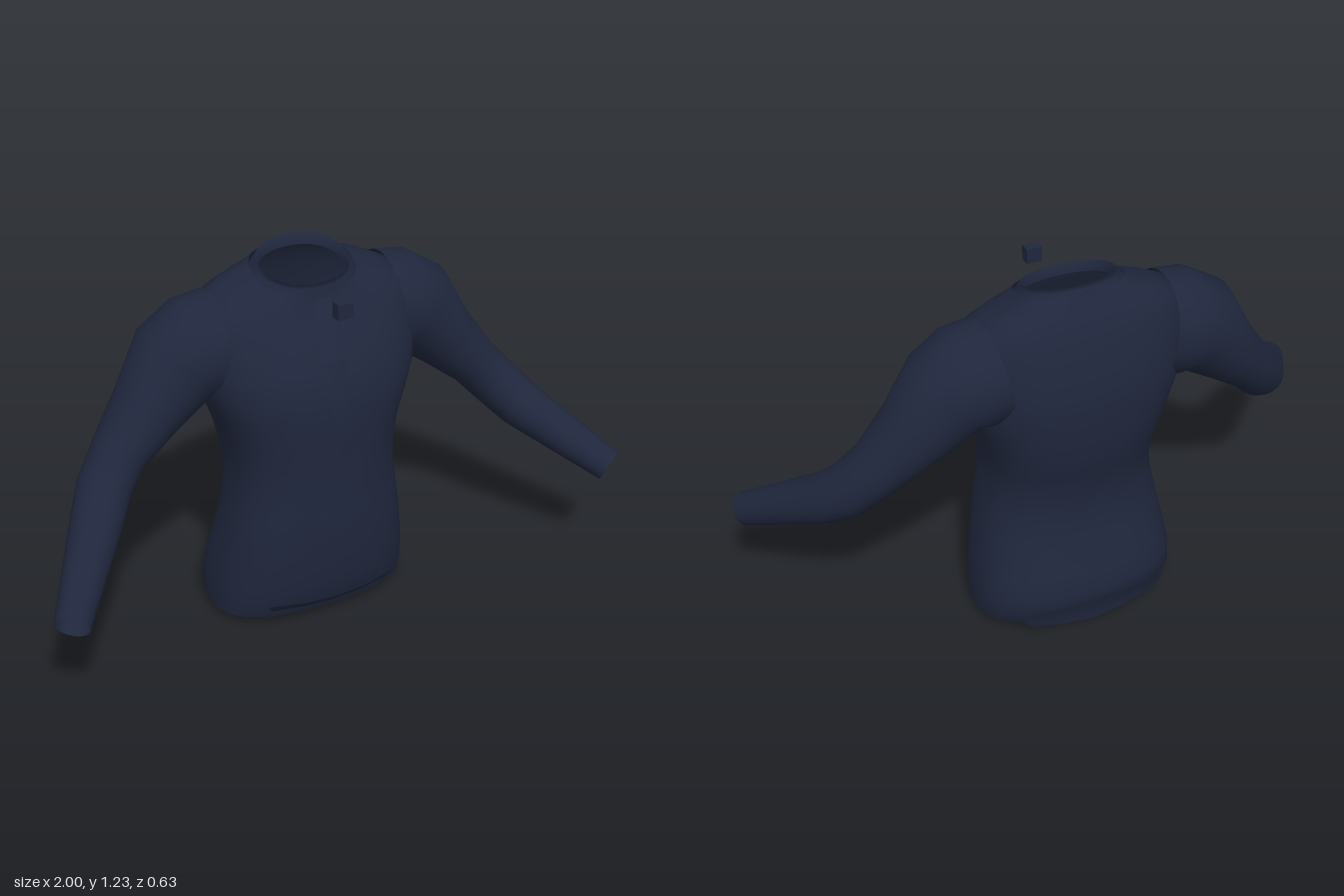
import * as THREE from 'three';

const cloth = new THREE.MeshStandardMaterial({ color: 0x20273d, side: THREE.DoubleSide });

// Skin a list of cross-sections (each a list of points) into one smooth surface
function loft(name, rings, closed = true) {
  const n = rings[0].length, index = [];
  for (let j = 0; j < rings.length - 1; j++) {
    for (let i = 0; i < (closed ? n : n - 1); i++) {
      const k = (i + 1) % n, a = j * n + i, b = a + n, c = j * n + k, d = c + n;
      index.push(a, b, c, c, b, d);
    }
  }
  const g = new THREE.BufferGeometry().setFromPoints(rings.flat());
  g.setIndex(index);
  g.computeVertexNormals();
  const mesh = new THREE.Mesh(g, cloth);
  mesh.name = name;
  return mesh;
}

// Rounded body section: front height, back height, half width, front z, back z
function bodyRing([yf, yb, hw, zf, zb], power = 2.5, n = 40) {
  const curve = (v) => Math.sign(v) * Math.abs(v) ** (2 / power);
  return Array.from({ length: n }, (_, i) => {
    const a = (i / n) * Math.PI * 2, s = curve(Math.sin(a));
    return new THREE.Vector3(hw * curve(Math.cos(a)), (yf + yb) / 2 + s * (yf - yb) / 2,
      (zf + zb) / 2 + s * (zf - zb) / 2);
  });
}

// Sleeve sections: x, y, z of the centre, radius up, radius front to back
const sleeveRows = [
  [0.27, 0.98, -0.125, 0.165, 0.155],
  [0.35, 0.965, -0.125, 0.17, 0.163],
  [0.415, 0.935, -0.125, 0.155, 0.15],
  [0.525, 0.81, -0.11, 0.112, 0.125],
  [0.635, 0.695, -0.085, 0.086, 0.098],
  [0.705, 0.615, -0.045, 0.084, 0.09],
  [0.76, 0.55, 0.02, 0.08, 0.082],
  [0.86, 0.465, 0.15, 0.067, 0.068],
  [0.955, 0.385, 0.275, 0.055, 0.055],
];

function sleeve(name, side) {
  const centres = sleeveRows.map(([x, y, z]) => new THREE.Vector3(x, y, z));
  const n = 24, last = centres.length - 1;
  const rings = sleeveRows.map(([, , , rv, rw], j) => {
    const t = centres[Math.min(j + 1, last)].clone().sub(centres[Math.max(j - 1, 0)]).normalize();
    const v = new THREE.Vector3(-t.y, t.x, 0).normalize();
    const w = t.clone().cross(v);
    return Array.from({ length: n }, (_, i) => {
      const a = -side * (i / n) * Math.PI * 2;
      const p = centres[j].clone().addScaledVector(v, rv * Math.cos(a)).addScaledVector(w, rw * Math.sin(a));
      p.x *= side;
      return p;
    });
  });
  return loft(name, rings);
}

// Thin cloth panel, bottom to top; rows: y in the middle, y at the edges, half width, z, edge z
function panel(name, rows) {
  return loft(name, rows.map(([y, ye, hw, z, ze]) =>
    [1, 0.5, 0, -0.5, -1].map((u) => new THREE.Vector3(u * hw,
      y + (ye - y) * Math.abs(u), z + (ze - z) * u * u))), false);
}

export function createModel() {
  const model = new THREE.Group();
  model.name = 'jacket';

  // Body, open at the hem and the neck
  model.add(loft('body', [
    [0.045, 0.04, 0.335, 0.10, -0.28],
    [0.09, 0.09, 0.337, 0.12, -0.31],
    [0.15, 0.15, 0.332, 0.135, -0.318],
    [0.22, 0.22, 0.322, 0.145, -0.302],
    [0.33, 0.33, 0.302, 0.155, -0.27],
    [0.43, 0.43, 0.285, 0.155, -0.252],
    [0.52, 0.52, 0.272, 0.154, -0.262],
    [0.60, 0.60, 0.277, 0.158, -0.28],
    [0.68, 0.68, 0.293, 0.161, -0.304],
    [0.77, 0.77, 0.325, 0.163, -0.311],
    [0.84, 0.84, 0.35, 0.157, -0.315],
    [0.91, 0.92, 0.36, 0.14, -0.315],
    [0.98, 1.0, 0.36, 0.11, -0.297],
    [1.04, 1.07, 0.355, 0.08, -0.28],
    [1.08, 1.13, 0.335, 0.06, -0.26],
    [1.11, 1.165, 0.27, 0.048, -0.24],
    [1.13, 1.19, 0.205, 0.042, -0.225],
    [1.145, 1.215, 0.165, 0.04, -0.212],
  ].map((r) => bodyRing(r))));

  // Stand collar, higher at the nape
  model.add(loft('collar', [
    [1.125, 1.19, 0.18, 0.04, -0.222],
    [1.155, 1.225, 0.155, 0.036, -0.21],
    [1.165, 1.238, 0.145, 0.028, -0.198],
    [1.13, 1.2, 0.14, 0.022, -0.19],
  ].map((r) => bodyRing(r, 2.2))));

  for (const [name, side] of [['leftSleeve', 1], ['rightSleeve', -1]]) model.add(sleeve(name, side));

  // Hem flaps: shallow front lip and the longer back tail
  model.add(panel('frontHemFlap', [
    [0.07, 0.075, 0.21, 0.118, 0.09],
    [0.105, 0.105, 0.23, 0.15, 0.105],
  ]));
  model.add(panel('backTail', [
    [0.012, 0.03, 0.21, -0.298, -0.27],
    [0.06, 0.06, 0.24, -0.302, -0.272],
    [0.105, 0.105, 0.25, -0.318, -0.288],
  ]));

  // Tie: knot piece, narrow strip and wide pointed end
  model.add(panel('tieKnot', [
    [0.95, 0.95, 0.04, 0.138, 0.134],
    [0.96, 0.95, 0.058, 0.136, 0.128],
    [1.03, 1.03, 0.04, 0.1, 0.094],
    [1.09, 1.09, 0.035, 0.066, 0.06],
    [1.12, 1.12, 0.03, 0.048, 0.044],
  ]));
  model.add(panel('tieStrip', [
    [0.66, 0.66, 0.022, 0.166, 0.164],
    [0.75, 0.75, 0.027, 0.168, 0.166],
    [0.84, 0.84, 0.033, 0.163, 0.16],
    [0.96, 0.96, 0.038, 0.126, 0.122],
  ]));
  model.add(panel('tieEnd', [
    [0.345, 0.405, 0.07, 0.169, 0.164],
    [0.45, 0.45, 0.074, 0.167, 0.162],
    [0.55, 0.55, 0.075, 0.164, 0.16],
    [0.625, 0.67, 0.075, 0.166, 0.164],
  ]));

  // Small block held in front of the throat
  const block = new THREE.Mesh(new THREE.BoxGeometry(0.05, 0.05, 0.036), cloth);
  block.name = 'throatBlock';
  block.position.set(0, 1.135, 0.165);
  model.add(block);

  return model;
}
